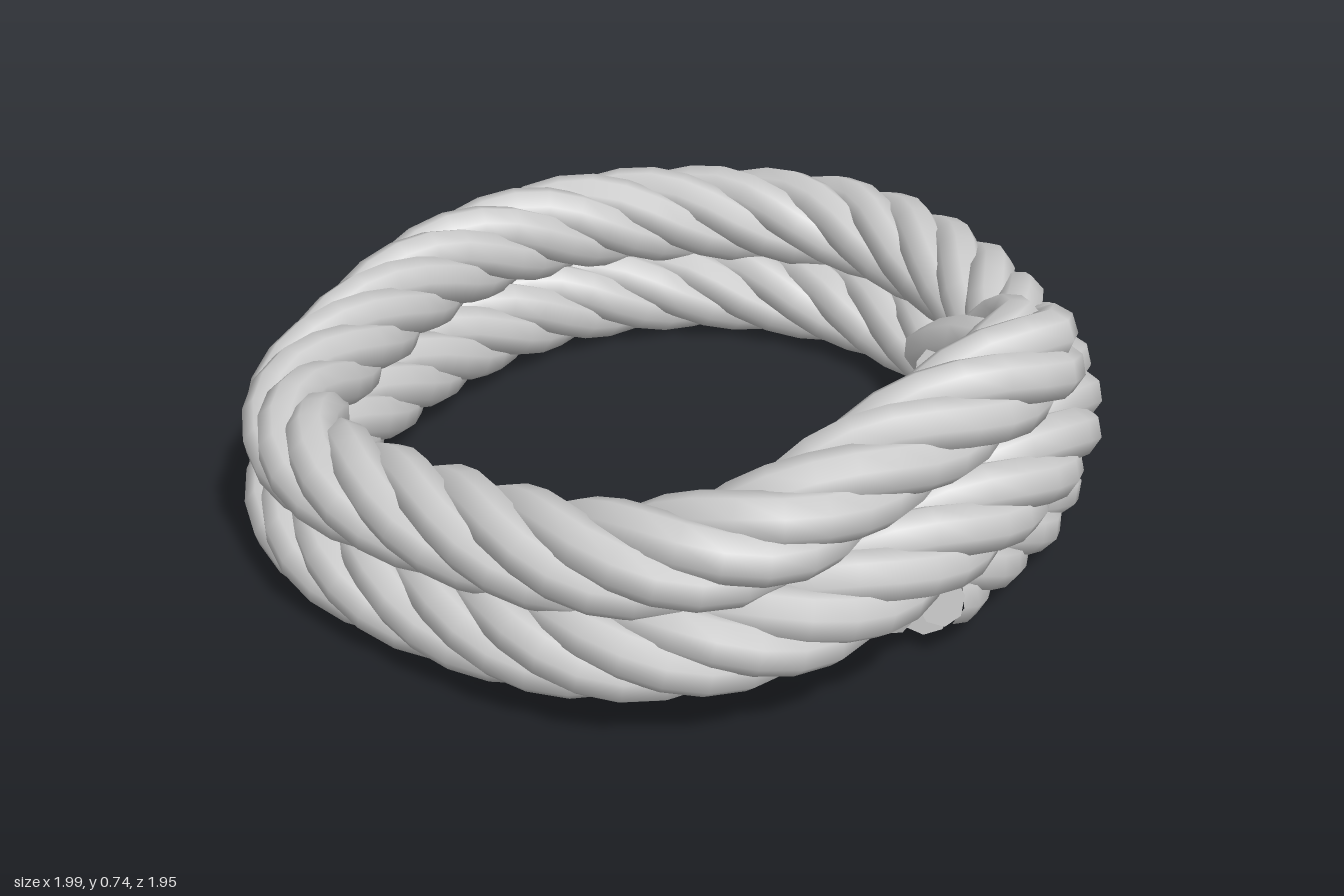
import * as THREE from 'three';

const STRANDS = 5, LAY_RADIUS = 0.067, STRAND_RADIUS = 0.058, PITCH = 0.92;
const UP = new THREE.Vector3(0, 1, 0);

// Centre line of the rope, from the lower loose end up to the folded top end
const LOWER = [
  [-0.29, 0.14, 0.74], [0, 0.13, 0.735], [0.31, 0.127, 0.7], [0.58, 0.127, 0.53], [0.79, 0.127, 0.21],
  [0.87, 0.127, -0.15], [0.77, 0.127, -0.49], [0.49, 0.127, -0.75], [0.12, 0.127, -0.84],
  [-0.29, 0.127, -0.8], [-0.61, 0.125, -0.7], [-0.8, 0.125, -0.46], [-0.87, 0.135, -0.05],
];
const MIDDLE = [
  [-0.845, 0.195, 0.4], [-0.64, 0.255, 0.68], [-0.28, 0.335, 0.82], [0.05, 0.385, 0.845],
  [0.3, 0.375, 0.74], [0.55, 0.355, 0.52],
];
const UPPER = [
  [0.78, 0.345, 0.2], [0.875, 0.34, -0.15], [0.77, 0.33, -0.48], [0.49, 0.335, -0.75],
  [0.12, 0.335, -0.85], [-0.29, 0.315, -0.8], [-0.61, 0.295, -0.69], [-0.8, 0.31, -0.45],
  [-0.87, 0.345, 0], [-0.845, 0.39, 0.39], [-0.7, 0.45, 0.63], [-0.42, 0.535, 0.745],
  [-0.14, 0.605, 0.83], [0.02, 0.62, 0.84], [0.08, 0.575, 0.75], [0.075, 0.43, 0.55],
];

// One strand: a right-handed helix wound around the centre line
class StrandCurve extends THREE.Curve {
  constructor(path, length, phase, from, to) {
    super();
    Object.assign(this, { path, length, phase, from, to });
  }
  getPoint(t, target = new THREE.Vector3()) {
    const u = THREE.MathUtils.lerp(this.from, this.to, t);
    const tangent = this.path.getTangentAt(u);
    const side = new THREE.Vector3().crossVectors(tangent, UP).normalize();
    const lift = new THREE.Vector3().crossVectors(side, tangent);
    const a = this.phase + (u * this.length / PITCH) * Math.PI * 2;
    return target.copy(this.path.getPointAt(u))
      .addScaledVector(lift, Math.cos(a) * LAY_RADIUS)
      .addScaledVector(side, Math.sin(a) * LAY_RADIUS);
  }
}

export function createModel() {
  const model = new THREE.Group();
  model.name = 'ropeCoil';
  const material = new THREE.MeshStandardMaterial({ color: 0xcccccc });
  const path = new THREE.CatmullRomCurve3(
    [...LOWER, ...MIDDLE, ...UPPER].map(p => new THREE.Vector3(...p)), false, 'centripetal');
  path.arcLengthDivisions = 1000;
  const length = path.getLength();

  for (let i = 0; i < STRANDS; i++) {
    const strand = new THREE.Group();
    strand.name = `strand${i + 1}`;

    // Uneven strand lengths give the loose ends a frayed look
    const from = (i % 3) * 0.04 / length;
    const to = 1 - ((i * 2) % 3) * 0.04 / length;
    const curve = new StrandCurve(path, length, i / STRANDS * Math.PI * 2, from, to);
    const tube = new THREE.Mesh(new THREE.TubeGeometry(curve, 160, STRAND_RADIUS, 8), material);
    tube.name = 'strandBody';
    strand.add(tube);

    // Flat caps on both cut ends
    for (const [t, sign] of [[0, -1], [1, 1]]) {
      const cap = new THREE.Mesh(new THREE.CircleGeometry(STRAND_RADIUS, 8), material);
      cap.name = 'cutEnd';
      cap.position.copy(curve.getPoint(t));
      cap.quaternion.setFromUnitVectors(
        new THREE.Vector3(0, 0, 1), curve.getTangent(t).multiplyScalar(sign));
      strand.add(cap);
    }
    model.add(strand);
  }
  return model;
}
